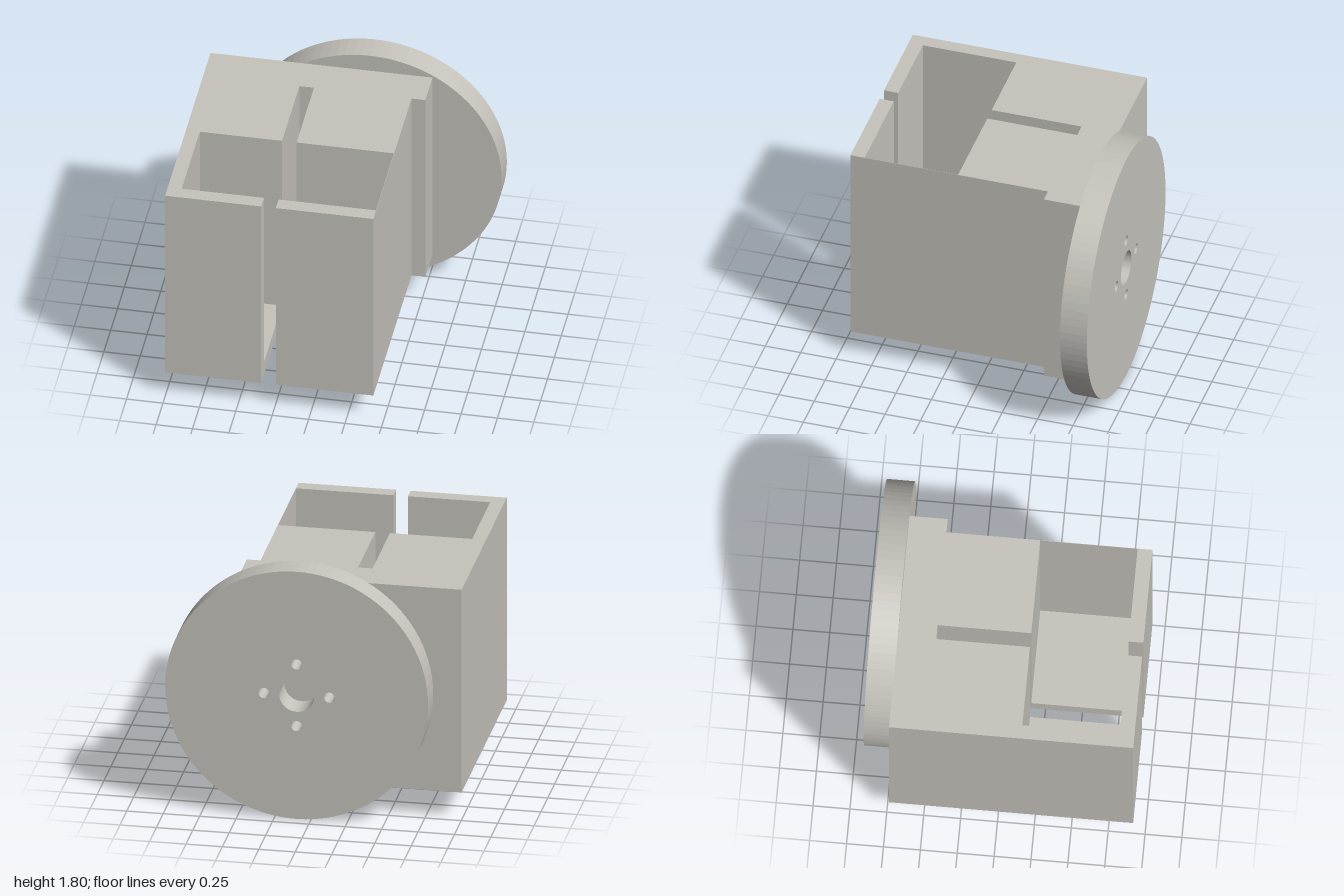
import * as THREE from 'three';

const grey = new THREE.MeshStandardMaterial({ color: 0xc6c3bc });
grey.name = 'warm grey';

// Extrudes an (x, z) footprint between two heights
function slab(name, footprint, y0, y1) {
  const shape = new THREE.Shape(footprint.map(([x, z]) => new THREE.Vector2(x, z)));
  const geo = new THREE.ExtrudeGeometry(shape, { depth: y1 - y0, bevelEnabled: false });
  geo.rotateX(Math.PI / 2).translate(0, y1, 0);
  const mesh = new THREE.Mesh(geo, grey);
  mesh.name = name;
  return mesh;
}

export function createModel() {
  const model = new THREE.Group();
  model.name = 'mountingBracket';

  const left = -1, right = 0.43, flange = 0.525;
  const back = -0.735, step = -0.475, front = 0.92;
  const slotA = -0.34, slotB = -0.24;
  const pocketBack = 0.16, pocketFront = 0.82, pocketLeft = -0.905;
  const skin = right - 0.002; // very thin side wall of the pocket

  // Floor: slotted all the way through, no pocket
  model.add(slab('bodyFloor', [
    [left, back], [flange, back], [flange, step], [right, step], [right, front],
    [slotB, front], [slotB, step], [slotA, step], [slotA, front], [left, front],
  ], 0.2, 0.3));

  // Body walls: slot plus a pocket open at the top
  model.add(slab('bodyWalls', [
    [left, back], [flange, back], [flange, step], [right, step], [right, front],
    [slotB, front], [slotB, pocketFront], [skin, pocketFront], [skin, pocketBack], [slotB, pocketBack],
    [slotB, step], [slotA, step],
    [slotA, pocketBack], [pocketLeft, pocketBack], [pocketLeft, pocketFront], [slotA, pocketFront],
    [slotA, front], [left, front],
  ], 0.3, 1.68));

  // Round rear plate with a centre bore and four screw holes
  const disc = new THREE.Shape().absarc(0, 0, 0.9025, 0, Math.PI * 2, false);
  const addHole = (x, y, r) =>
    disc.holes.push(new THREE.Path().absarc(x, y, r, 0, Math.PI * 2, true));
  addHole(0, 0, 0.12);
  for (let i = 0; i < 4; i++) {
    const a = i * Math.PI / 2;
    addHole(0.225 * Math.cos(a), 0.225 * Math.sin(a), 0.037);
  }
  const plate = new THREE.Mesh(
    new THREE.ExtrudeGeometry(disc, { depth: 0.19, bevelEnabled: false, curveSegments: 48 }), grey);
  plate.name = 'rearDisc';
  plate.position.set(0.0975, 0.9025, -0.925);
  model.add(plate);

  return model;
}
